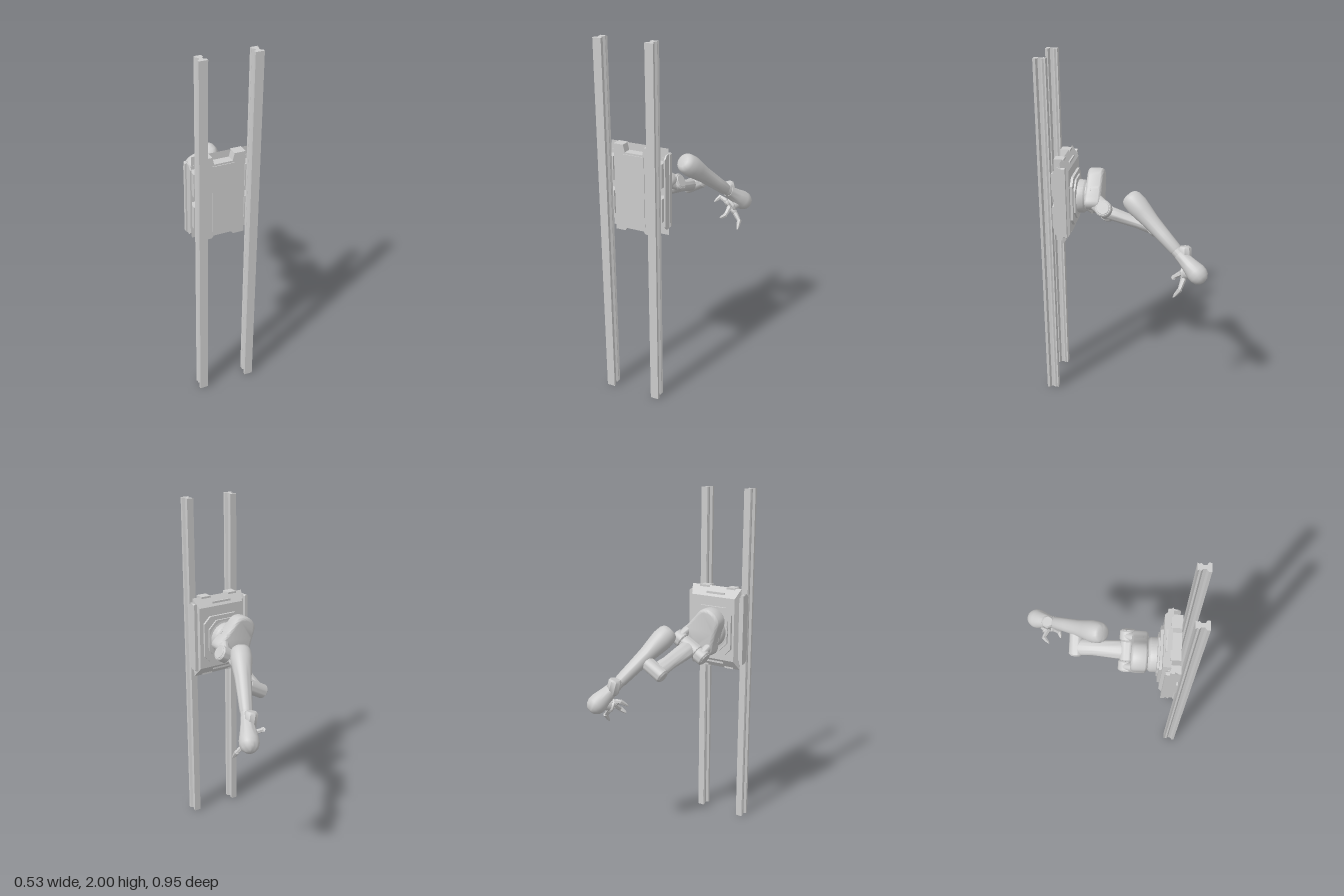
import * as THREE from 'three';
import { toCreasedNormals } from 'three/addons/utils/BufferGeometryUtils.js';

const grey = new THREE.MeshStandardMaterial({ color: 0xcccccc });
const V = (x, y, z) => new THREE.Vector3(x, y, z);

function add(parent, name, geometry) {
  const mesh = new THREE.Mesh(geometry, grey);
  mesh.name = name;
  parent.add(mesh);
  return mesh;
}

// Box given by its limits on each axis
function box(parent, name, x0, x1, y0, y1, z0, z1) {
  const m = add(parent, name, new THREE.BoxGeometry(x1 - x0, y1 - y0, z1 - z0));
  m.position.set((x0 + x1) / 2, (y0 + y1) / 2, (z0 + z1) / 2);
  return m;
}

// Turned body along a -> b; profile is [distance from a, radius], stretched sideways by wide
function limb(parent, name, a, b, profile, wide = 1, sides = 32) {
  const pts = profile.map(([d, r]) => new THREE.Vector2(r, d));
  const geo = new THREE.LatheGeometry(pts, sides);
  const m = add(parent, name, toCreasedNormals(geo, 0.75));
  const y = b.clone().sub(a).normalize();
  const x = V(Math.abs(y.x) > 0.9 ? 0 : 1, Math.abs(y.x) > 0.9 ? 1 : 0, 0);
  x.addScaledVector(y, -x.dot(y)).normalize();
  m.quaternion.setFromRotationMatrix(new THREE.Matrix4().makeBasis(x, y, x.clone().cross(y)));
  m.position.copy(a);
  m.scale.x = wide;
  return m;
}

// Closed round drum with softened rims
function drum(parent, name, a, b, r, rim = 0.006, sides = 32) {
  const l = a.distanceTo(b);
  return limb(parent, name, a, b,
    [[0, 0], [0, r - rim], [rim, r], [l - rim, r], [l, r - rim], [l, 0]], 1, sides);
}

const shapeOf = (pts) => new THREE.Shape(pts.map(([x, y]) => new THREE.Vector2(x, y)));

// Flat rectangle with cut corners
function plate(parent, name, x0, x1, y0, y1, z0, z1, c) {
  const s = shapeOf([[x0 + c, y0], [x1 - c, y0], [x1, y0 + c], [x1, y1 - c],
    [x1 - c, y1], [x0 + c, y1], [x0, y1 - c], [x0, y0 + c]]);
  const m = add(parent, name, new THREE.ExtrudeGeometry(s, { depth: z1 - z0, bevelEnabled: false }));
  m.position.z = z0;
  return m;
}

function buildRails(root) {
  const half = [[0.023, -0.472], [0.023, -0.457], [0.010, -0.448], [0.010, -0.432],
    [0.019, -0.423], [0.015, -0.414], [0.020, -0.405]];
  const outline = [...half, ...half.map(([x, y]) => [-x, y]).reverse()];
  for (const x of [-0.225, 0.055]) {
    const rail = add(root, 'rail',
      new THREE.ExtrudeGeometry(shapeOf(outline), { depth: 2, bevelEnabled: false }));
    rail.rotation.x = -Math.PI / 2;
    rail.position.x = x;
  }
}

function buildCarriage(root) {
  const g = new THREE.Group();
  g.name = 'carriage';
  root.add(g);
  // Core slab with notched ends
  const s = shapeOf([[-0.2, 0.97], [-0.145, 0.97], [-0.135, 0.985], [-0.035, 0.985], [-0.025, 0.97],
    [0.035, 0.97], [0.035, 1.45], [-0.025, 1.45], [-0.035, 1.41], [-0.135, 1.41], [-0.145, 1.45], [-0.2, 1.45]]);
  add(g, 'carriageCore', new THREE.ExtrudeGeometry(s, { depth: 0.055, bevelEnabled: false })).position.z = 0.337;
  box(g, 'backPanel', -0.145, -0.025, 1.01, 1.4, 0.385, 0.396);
  // Sloped cover, narrower on the arm side
  const cover = box(g, 'carriageCover', -0.24, 0.09, 0.97, 1.45, 0.304, 0.345);
  const p = cover.geometry.attributes.position;
  for (let i = 0; i < p.count; i++) {
    if (p.getZ(i) < 0) p.setXY(i, p.getX(i) * 0.87, p.getY(i) * 0.77);
  }
  cover.geometry = toCreasedNormals(cover.geometry, 0.1);
  box(g, 'upperLug', -0.145, -0.025, 1.36, 1.42, 0.314, 0.345);
  box(g, 'lowerLug', -0.145, -0.025, 1.0, 1.06, 0.314, 0.345);
  plate(g, 'mountPlate', -0.205, 0.045, 1.06, 1.34, 0.29, 0.306, 0.04);
  plate(g, 'mountStep', -0.185, 0.02, 1.085, 1.315, 0.28, 0.291, 0.05);
  // Bearing blocks and outer guards
  for (const side of [-1, 1]) {
    const x = -0.085 + side * 0.14;
    for (const y of [1.06, 1.25]) box(g, 'bearingBlock', x - 0.023, x + 0.023, y, y + 0.13, 0.345, 0.4);
    const o = -0.085 + side * 0.172;
    plate(g, 'guardShelf', o - 0.012, o + 0.008, 1.01, 1.42, 0.318, 0.34, 0.005);
    const guard = plate(g, 'sideGuard', -0.385, -0.318, 1.01, 1.42, 0, 0.008, 0.02);
    guard.rotation.y = Math.PI / 2;
    guard.position.set(o - 0.004, 0, 0);
    box(g, 'guardBracket', x - 0.02, x + 0.028, 1.03, 1.4, 0.332, 0.347);
  }
}

function buildArm(root) {
  // Arm frame: x along the joint axes, z along the turntable axis
  const arm = new THREE.Group();
  arm.name = 'robotArm';
  arm.position.set(-0.085, 1.2, 0);
  arm.rotation.z = Math.PI / 6;
  root.add(arm);

  limb(arm, 'turntable', V(0, 0, 0.29), V(0, 0, 0.2),
    [[0, 0], [0, 0.105], [0.01, 0.105], [0.012, 0.094], [0.046, 0.094], [0.056, 0.085], [0.07, 0.086], [0.09, 0.1], [0.09, 0]]);

  // Shoulder casting
  const pts = [[0, 0.15], [0.05, 0.13], [0.07, 0.06], [0.085, 0], [0.1, -0.055], [0.06, -0.07],
    [0, -0.055], [-0.06, -0.07], [-0.1, -0.055], [-0.085, 0], [-0.07, 0.06], [-0.05, 0.13]];
  const curve = new THREE.CatmullRomCurve3(pts.map(([x, y]) => V(x, y, 0)), true);
  const shape = new THREE.Shape(curve.getPoints(60).slice(0, -1).map((q) => new THREE.Vector2(q.x, q.y)).reverse());
  const shoulder = add(arm, 'shoulder', toCreasedNormals(new THREE.ExtrudeGeometry(shape,
    { depth: 0.05, bevelSize: 0.02, bevelThickness: 0.02, bevelOffset: -0.005, bevelSegments: 5 }), 0.7));
  shoulder.position.z = 0.16;

  // Fork cheeks carrying the lower arm
  for (const s of [-1, 1]) {
    limb(arm, 'forkCheek', V(s * 0.078, -0.02, 0.195), V(s * 0.085, -0.08, 0.12),
      [[-0.03, 0], [-0.02, 0.04], [0.03, 0.046], [0.097, 0.045], [0.097, 0]], 0.6);
    drum(arm, 'forkHub', V(s * 0.055, -0.08, 0.12), V(s * 0.112, -0.08, 0.12), 0.046);
    drum(arm, 'hubCap', V(s * 0.1, -0.08, 0.12), V(s * 0.116, -0.08, 0.12), 0.036, 0.003);
  }

  // Lower arm
  drum(arm, 'lowerArmHub', V(-0.056, -0.08, 0.12), V(0.056, -0.08, 0.12), 0.042);
  limb(arm, 'lowerArm', V(0, -0.08, 0.125), V(-0.012, -0.165, -0.165),
    [[-0.035, 0], [-0.025, 0.025], [0, 0.039], [0.08, 0.036], [0.2, 0.031], [0.3, 0.035], [0.325, 0.028], [0.335, 0]], 1.4);
  drum(arm, 'elbowHub', V(-0.064, -0.165, -0.165), V(0.07, -0.165, -0.165), 0.04, 0.01);

  // Forearm and wrist
  limb(arm, 'forearm', V(0.096, -0.03, -0.045), V(0.096, -0.29, -0.3),
    [[-0.042, 0], [-0.042, 0.034], [-0.034, 0.048], [-0.015, 0.057], [0.03, 0.061], [0.08, 0.055],
      [0.15, 0.046], [0.25, 0.04], [0.35, 0.035], [0.364, 0.03], [0.364, 0]]);
  drum(arm, 'wristCollar', V(0.096, -0.283, -0.293), V(0.096, -0.31, -0.32), 0.032, 0.003);
  limb(arm, 'wrist', V(0.096, -0.305, -0.315), V(0.096, -0.41, -0.42),
    [[0, 0], [0, 0.034], [0.03, 0.036], [0.08, 0.044], [0.13, 0.054], [0.155, 0.054], [0.18, 0.045], [0.198, 0.025], [0.203, 0]]);
  drum(arm, 'wristMotor', V(0.104, -0.262, -0.34), V(0.08, -0.345, -0.348), 0.036, 0.008, 8);

  // Gripper with three jointed fingers
  const gripper = new THREE.Group();
  gripper.name = 'gripper';
  arm.add(gripper);
  const wrist = V(0.096, -0.4, -0.405), palm = V(0.042, -0.4, -0.345);
  drum(gripper, 'toolFlange', wrist, wrist.clone().lerp(palm, 0.8), 0.035, 0.004, 16);
  drum(gripper, 'palm', wrist.clone().lerp(palm, 0.75), palm, 0.042, 0.008, 8);
  const fingers = [
    [V(0.055, -0.45, -0.34), V(0.065, -0.5, -0.325), V(0.045, -0.54, -0.292)],
    [V(0.04, -0.41, -0.32), V(0.02, -0.43, -0.285), V(-0.015, -0.432, -0.275)],
    [V(0.03, -0.36, -0.35), V(0, -0.33, -0.365), V(-0.035, -0.34, -0.335)],
  ];
  for (const [root0, knuckle, tip] of fingers) {
    const l1 = root0.distanceTo(knuckle), l2 = knuckle.distanceTo(tip);
    drum(gripper, 'fingerMount', palm.clone().lerp(root0, 0.2), root0, 0.016, 0.003, 6);
    limb(gripper, 'fingerLink', root0, knuckle,
      [[-0.01, 0], [-0.01, 0.016], [l1, 0.011], [l1 + 0.006, 0]], 1, 6);
    limb(gripper, 'fingerTip', knuckle, tip,
      [[-0.006, 0], [-0.006, 0.014], [l2 * 0.6, 0.01], [l2, 0.004], [l2, 0]], 1, 6);
  }
}

export function createModel() {
  const root = new THREE.Group();
  root.name = 'railMountedRobot';
  buildRails(root);
  buildCarriage(root);
  buildArm(root);
  return root;
}
